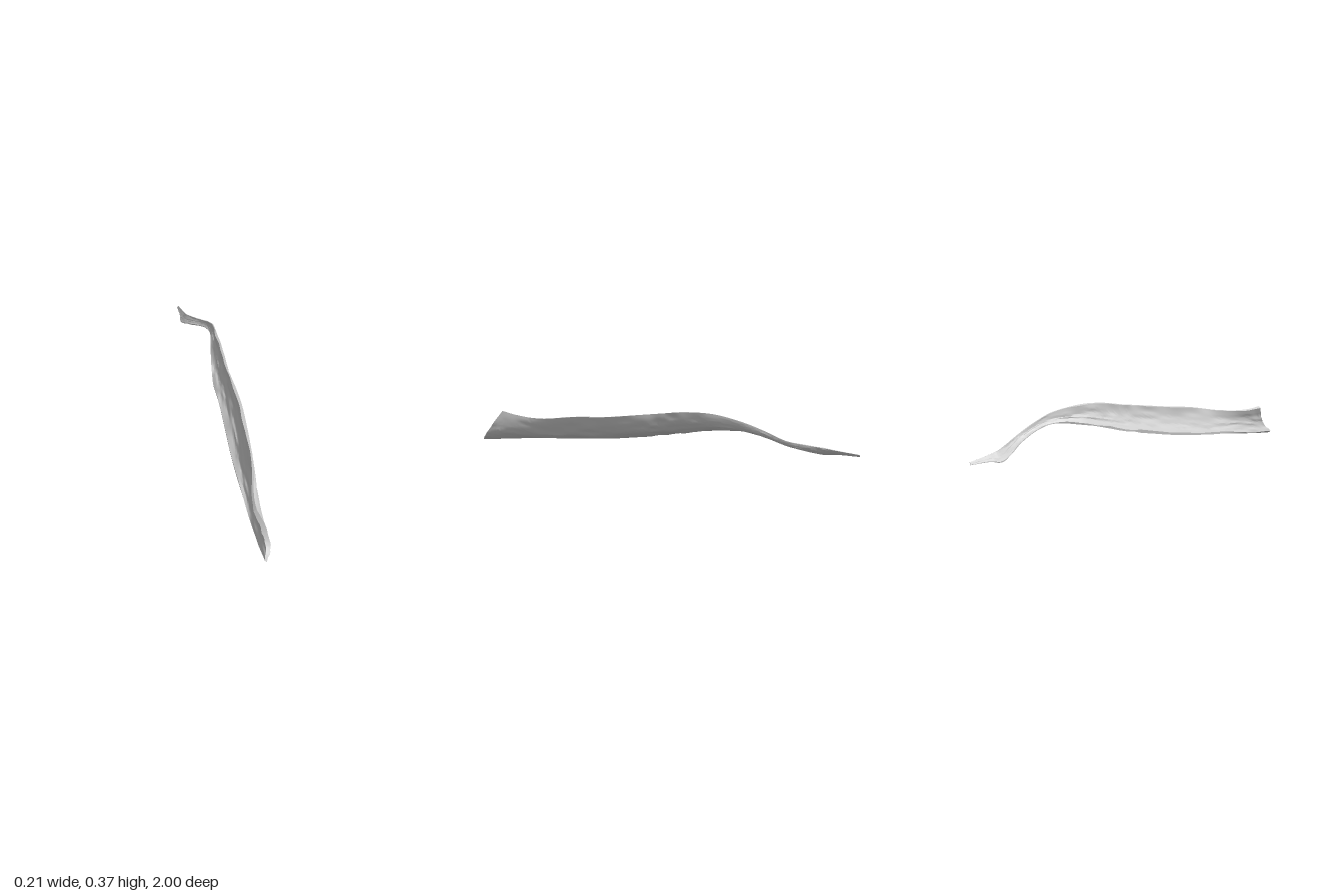
import * as THREE from 'three';
import { toCreasedNormals } from 'three/addons/utils/BufferGeometryUtils.js';

// Stations from the front end to the tail tip:
// [z, lower edge x,y, belly control x,y, upper edge x,y]
const STATIONS = [
  [1.0, 0.08, 0.003, 0.135, 0.05, 0.055, 0.172],
  [0.85, 0.06, 0.025, 0.122, 0.08, 0.062, 0.170],
  [0.6, 0.035, 0.07, 0.112, 0.08, 0.09, 0.190],
  [0.4, 0.022, 0.102, 0.108, 0.11, 0.092, 0.235],
  [0.2, 0.016, 0.14, 0.108, 0.15, 0.09, 0.270],
  [0.0, 0.008, 0.187, 0.095, 0.20, 0.07, 0.312],
  [-0.1, -0.003, 0.212, 0.085, 0.22, 0.06, 0.333],
  [-0.2, 0.0, 0.24, 0.08, 0.25, 0.055, 0.355],
  [-0.35, 0.012, 0.282, 0.07, 0.295, 0.045, 0.370],
  [-0.5, 0.025, 0.308, 0.055, 0.315, 0.042, 0.358],
  [-0.6, 0.010, 0.296, 0.04, 0.30, 0.028, 0.332],
  [-0.7, -0.018, 0.265, 0.015, 0.27, 0.008, 0.297],
  [-0.78, -0.065, 0.24, -0.03, 0.245, -0.03, 0.280],
  [-0.85, -0.10, 0.226, -0.07, 0.235, -0.065, 0.268],
  [-0.9, -0.10, 0.238, -0.085, 0.24, -0.078, 0.263],
  [-1.0, -0.107, 0.245, -0.103, 0.247, -0.10, 0.256],
];
const ROWS = 150, COLS = 20;

// Smooth value noise, used stretched along the grain
function noise(x, y) {
  const hash = (i, j) => {
    const s = Math.sin(i * 127.1 + j * 311.7) * 43758.5453;
    return s - Math.floor(s);
  };
  const i = Math.floor(x), j = Math.floor(y);
  const u = THREE.MathUtils.smoothstep(x - i, 0, 1);
  const v = THREE.MathUtils.smoothstep(y - j, 0, 1);
  const { lerp } = THREE.MathUtils;
  return lerp(lerp(hash(i, j), hash(i + 1, j), u), lerp(hash(i, j + 1), hash(i + 1, j + 1), u), v) - 0.5;
}

// Rail through all stations; the front end is cut at a slant
function rail(column, cut) {
  return new THREE.CatmullRomCurve3(STATIONS.map((s) =>
    new THREE.Vector3(s[column], s[column + 1], s[0] - cut * Math.max(0, (s[0] - 0.6) / 0.4))));
}

function barkGeometry() {
  const lower = rail(1, 0), belly = rail(3, 0.05), upper = rail(5, 0.12);
  const ring = 2 * (COLS + 1);
  const positions = [], index = [];

  for (let k = 0; k <= ROWS; k++) {
    const u = k / ROWS;
    const section = new THREE.QuadraticBezierCurve3(lower.getPoint(u), belly.getPoint(u), upper.getPoint(u));
    const height = section.v0.distanceTo(section.v2);
    const outer = [], inner = [];
    for (let i = 0; i <= COLS; i++) {
      const s = i / COLS;
      const p = section.getPoint(s), t = section.getTangent(s);
      const inward = new THREE.Vector3(-t.y, t.x, 0).normalize();
      const thick = Math.min(0.023, height * 0.22) * (0.45 + 0.55 * Math.sin(Math.PI * s));
      const rough = Math.min(0.006, height * 0.05);
      outer.push(p.clone().addScaledVector(inward, rough * noise(u * 30, s * 10)));
      inner.push(p.clone().addScaledVector(inward, thick + rough * 1.2 * noise(u * 30 + 70, s * 9)));
    }
    for (const p of [...outer, ...inner.reverse()]) positions.push(p.x, p.y, p.z);
  }

  // Skin around the sections
  for (let k = 0; k < ROWS; k++) {
    for (let i = 0; i < ring; i++) {
      const a = k * ring + i, b = k * ring + (i + 1) % ring;
      index.push(a, a + ring, b, b, a + ring, b + ring);
    }
  }
  // Broken end faces
  for (let i = 0; i < COLS; i++) {
    const a = i, b = i + 1, c = ring - 2 - i, d = ring - 1 - i, e = ROWS * ring;
    index.push(a, b, c, a, c, d);
    index.push(e + a, e + c, e + b, e + a, e + d, e + c);
  }

  const geometry = new THREE.BufferGeometry();
  geometry.setAttribute('position', new THREE.Float32BufferAttribute(positions, 3));
  geometry.setIndex(index);
  return toCreasedNormals(geometry, 0.6);
}

export function createModel() {
  const group = new THREE.Group();
  group.name = 'barkStrip';
  const bark = new THREE.Mesh(barkGeometry(), new THREE.MeshStandardMaterial({ color: 0xcccccc }));
  bark.name = 'bark';
  group.add(bark);
  return group;
}
